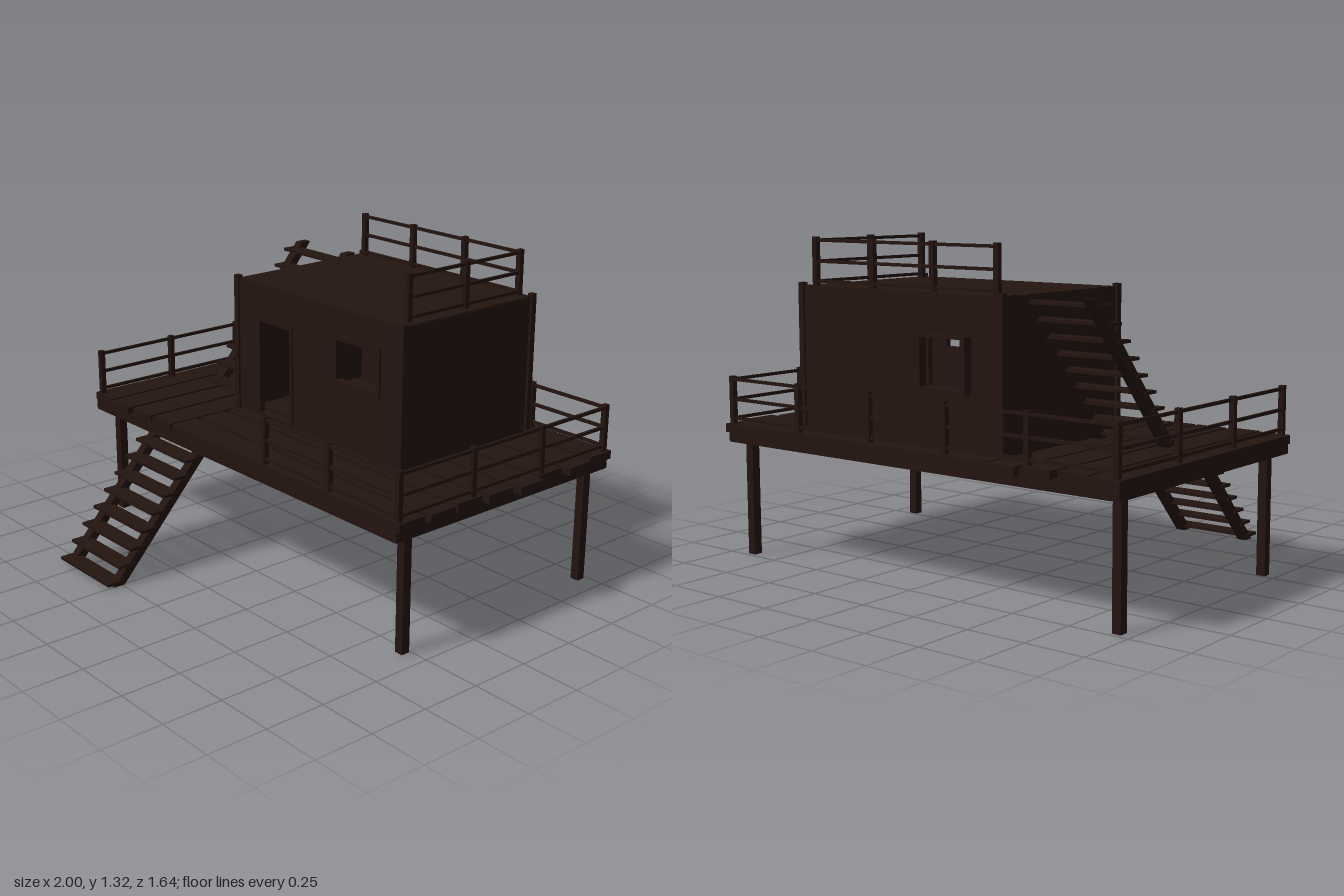
import * as THREE from 'three';

const material = new THREE.MeshStandardMaterial({ color: 0x24140f });

// Box given by its lower and upper limits on each axis
function box(parent, name, x0, x1, y0, y1, z0, z1) {
  const mesh = new THREE.Mesh(new THREE.BoxGeometry(x1 - x0, y1 - y0, z1 - z0), material);
  mesh.position.set((x0 + x1) / 2, (y0 + y1) / 2, (z0 + z1) / 2);
  mesh.name = name;
  parent.add(mesh);
  return mesh;
}

function section(parent, name) {
  const group = new THREE.Group();
  group.name = name;
  parent.add(group);
  return group;
}

// Upright panel with rectangular openings, each [x0, x1, y0, y1]
function panel(parent, name, outer, holes, z, depth) {
  const corners = ([x0, x1, y0, y1]) => [[x0, y0], [x1, y0], [x1, y1], [x0, y1]]
    .map(([x, y]) => new THREE.Vector2(x, y));
  const shape = new THREE.Shape(corners(outer));
  holes.forEach(h => shape.holes.push(new THREE.Path(corners(h).reverse())));
  const mesh = new THREE.Mesh(
    new THREE.ExtrudeGeometry(shape, { depth, bevelEnabled: false }), material);
  mesh.position.z = z;
  mesh.name = name;
  parent.add(mesh);
}

// Posts and three rails between two points [x, z]
function railing(parent, name, from, to, posts, y) {
  const group = section(parent, name);
  for (let i = 0; i < posts; i++) {
    const t = i / (posts - 1);
    const x = from[0] + (to[0] - from[0]) * t, z = from[1] + (to[1] - from[1]) * t;
    box(group, 'railingPost', x - 0.011, x + 0.011, y, y + 0.195, z - 0.011, z + 0.011);
  }
  const r = 0.006;
  for (const h of [0.022, 0.1, 0.182]) {
    box(group, 'rail',
      Math.min(from[0], to[0]) - r, Math.max(from[0], to[0]) + r, y + h - r, y + h + r,
      Math.min(from[1], to[1]) - r, Math.max(from[1], to[1]) + r);
  }
}

// Open stair rising towards -z: two slanted stringers and thin treads
function stair(parent, name, { x0, x1, y0, y1, z0, count, firstY, rise, run, frontZ, depth }) {
  const group = section(parent, name);
  const z1 = z0 - (y1 - y0) * run / rise;
  const shape = new THREE.Shape([[-z0, y0], [-z0 + 0.05, y0], [-z1 + 0.05, y1], [-z1, y1]]
    .map(([x, y]) => new THREE.Vector2(x, y)));
  for (const x of [x0 + 0.005, x1 - 0.045]) {
    const mesh = new THREE.Mesh(
      new THREE.ExtrudeGeometry(shape, { depth: 0.04, bevelEnabled: false }), material);
    mesh.rotation.y = Math.PI / 2;
    mesh.position.x = x;
    mesh.name = 'stringer';
    group.add(mesh);
  }
  for (let i = 0; i < count; i++) {
    const y = firstY + i * rise, z = frontZ - i * run;
    box(group, 'tread', x0, x1, y - 0.006, y + 0.006, z - depth, z);
  }
}

export function createModel() {
  const model = new THREE.Group();
  model.name = 'stiltCabin';

  // Legs
  const legs = section(model, 'legs');
  for (const x of [-0.957, 0.88]) {
    for (const z of [0.257, -0.732]) box(legs, 'leg', x, x + 0.037, 0, 0.5, z, z + 0.037);
  }

  // Perimeter beams under the deck
  const frame = section(model, 'deckFrame');
  for (const x of [-0.99, 0.893]) box(frame, 'sideBeam', x, x + 0.052, 0.477, 0.522, -0.795, 0.363);
  for (const z of [-0.795, 0.323]) box(frame, 'longBeam', -0.938, 0.893, 0.477, 0.522, z, z + 0.04);

  // Deck planks: four run front to back, eight run sideways
  const deck = section(model, 'deck');
  [[-1, -0.81, 0.36], [-0.856, -0.785, 0.375], [-0.71, -0.81, 0.36], [-0.565, -0.825, 0.36]]
    .forEach(([x, z0, z1]) => box(deck, 'plank', x, x + 0.13, 0.518, 0.552, z0, z1));
  [0.955, 0.982, 0.955, 0.995, 0.972, 0.955, 0.965, 0.955].forEach((end, i) => {
    const z = -0.805 + i * 0.148;
    box(deck, 'plank', -0.425, end, 0.518, 0.552, z, z + 0.127);
  });

  // Cabin walls, roof and corner posts
  const cabin = section(model, 'cabin');
  const wall = [-0.425, 0.583, 0.55, 1.125];
  const door = [-0.272, -0.078, 0.57, 0.97];
  const frontWindow = [0.215, 0.445, 0.835, 1.0];
  const backWindow = [-0.272, -0.078, 0.785, 0.97];
  panel(cabin, 'frontWall', wall, [door, frontWindow], -0.02, 0.02);
  panel(cabin, 'backWall', wall, [backWindow], -0.715, 0.02);
  for (const x of [-0.425, 0.563]) box(cabin, 'sideWall', x, x + 0.02, 0.55, 1.125, -0.695, -0.02);
  box(cabin, 'roof', -0.42, 0.578, 1.11, 1.128, -0.71, -0.003);
  for (const x of [-0.437, 0.57]) {
    for (const z of [-0.725, -0.015]) box(cabin, 'cornerPost', x, x + 0.025, 0.55, 1.14, z, z + 0.025);
  }

  // Door and window frames
  panel(cabin, 'doorFrame', [-0.29, -0.06, 0.552, 0.988], [door], 0, 0.006);
  panel(cabin, 'frontWindowFrame', [0.195, 0.465, 0.815, 1.02], [frontWindow], -0.005, 0.015);
  panel(cabin, 'backWindowFrame', [-0.295, -0.053, 0.77, 0.98], [backWindow], -0.767, 0.037);

  // Deck railings
  const y = 0.552;
  railing(model, 'backRailing', [-0.97, -0.778], [0.934, -0.778], 6, y);
  railing(model, 'leftEndRailing', [-0.97, 0.343], [-0.97, -0.778], 4, y);
  railing(model, 'rightEndRailing', [0.934, 0.343], [0.934, -0.778], 4, y);
  railing(model, 'frontRailing', [0.18, 0.343], [0.934, 0.343], 3, y);

  // Roof railings along the back and one side
  railing(model, 'roofBackRailing', [-0.38, -0.683], [0.535, -0.683], 4, 1.122);
  railing(model, 'roofSideRailing', [0.535, -0.07], [0.535, -0.683], 3, 1.122);

  // Stairs from the ground to the deck and from the deck to the roof
  stair(model, 'groundStair', {
    x0: -0.6, x1: -0.24, y0: 0, y1: 0.48, z0: 0.788,
    count: 8, firstY: 0.018, rise: 0.0623, run: 0.0565, frontZ: 0.82, depth: 0.075,
  });
  stair(model, 'roofStair', {
    x0: -0.785, x1: -0.425, y0: 0.552, y1: 1.133, z0: -0.125,
    count: 9, firstY: 0.573, rise: 0.0665, run: 0.0565, frontZ: -0.095, depth: 0.072,
  });

  return model;
}
